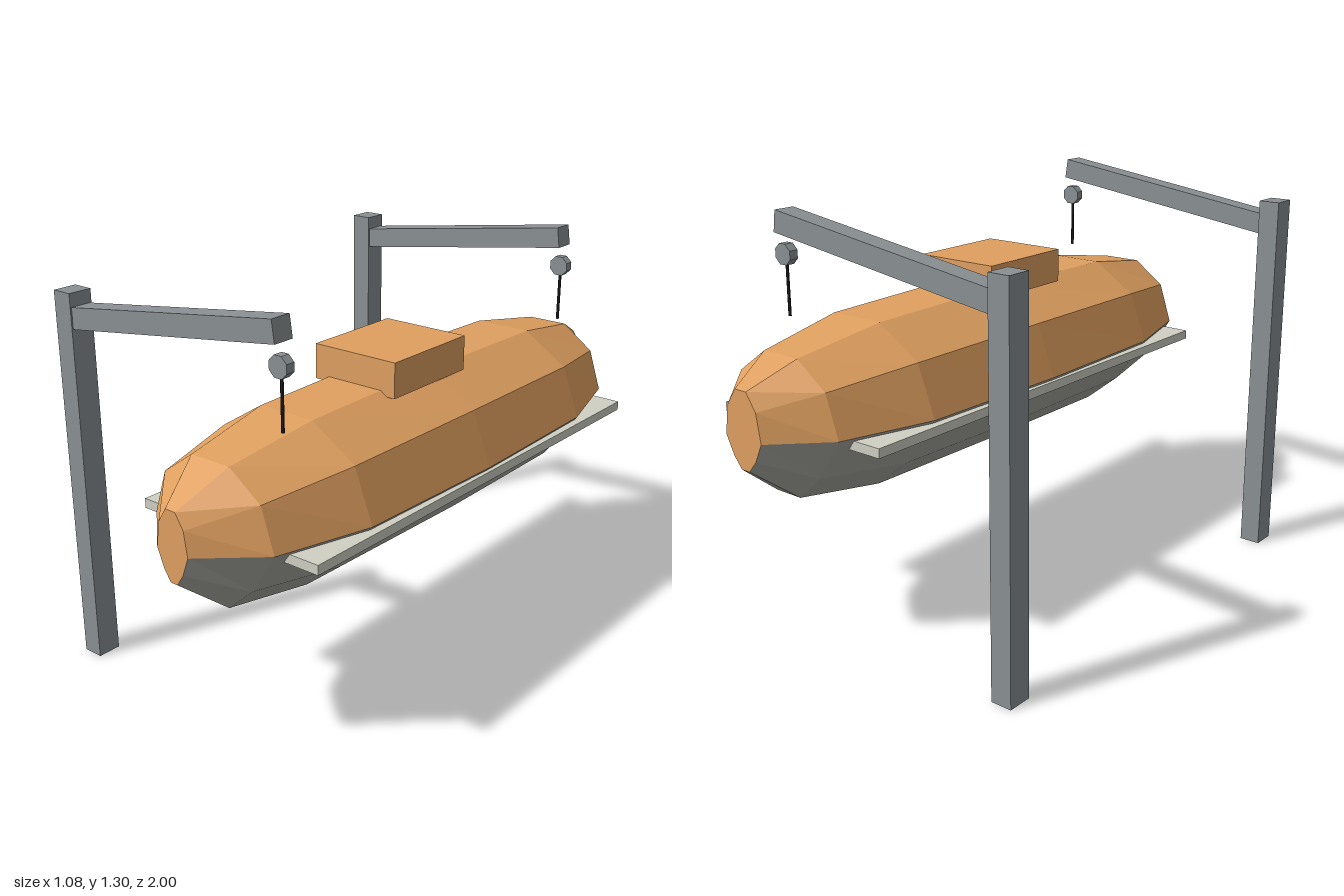
import * as THREE from 'three';

const material = (color) => new THREE.MeshStandardMaterial({ color, flatShading: true });
const orange = material(0xe0a060);
const grey = material(0xa8a8a2);
const pale = material(0xd0d0c4);
const steel = material(0x8a9093);
const dark = material(0x222222);

const CENTRE_X = 0.208;
const DECK_Y = 0.7;

// Stations along the boat: z, half width, top y, keel y
const stations = [
  [-1, 0.075, 0.843, 0.605],
  [-0.85, 0.225, 0.912, 0.487],
  [-0.55, 0.31, 0.96, 0.442],
  [0, 0.325, 0.97, 0.441],
  [0.55, 0.31, 0.96, 0.442],
  [0.85, 0.225, 0.912, 0.487],
  [1, 0.058, 0.82, 0.607],
];

// Unit section arcs, counter-clockwise seen from the front
const canopyArc = [[1, 0], [0.8, 0.63], [0.31, 1], [-0.31, 1], [-0.8, 0.63], [-1, 0]];
const hullArc = [[-1, 0], [-0.62, -0.62], [-0.22, -1], [0.22, -1], [0.62, -0.62], [1, 0]];

function section([z, halfWidth, top, keel], arc) {
  return arc.map(([u, v]) => [
    CENTRE_X + u * halfWidth,
    DECK_Y + v * (v > 0 ? top - DECK_Y : DECK_Y - keel),
    z,
  ]);
}

function facets(triangles) {
  const geometry = new THREE.BufferGeometry();
  geometry.setAttribute('position', new THREE.Float32BufferAttribute(triangles.flat(2), 3));
  geometry.computeVertexNormals();
  return geometry;
}

function loft(arc) {
  const rings = stations.map((s) => section(s, arc));
  const triangles = [];
  for (let i = 0; i < rings.length - 1; i++) {
    for (let j = 0; j < arc.length - 1; j++) {
      const a = rings[i][j], b = rings[i][j + 1];
      const c = rings[i + 1][j + 1], d = rings[i + 1][j];
      triangles.push([a, b, c], [a, c, d]);
    }
  }
  return facets(triangles);
}

function endCap(station, facesFront) {
  const ring = section(station, [...canopyArc, ...hullArc.slice(1, -1)]);
  if (!facesFront) ring.reverse();
  const triangles = [];
  for (let i = 1; i < ring.length - 1; i++) triangles.push([ring[0], ring[i], ring[i + 1]]);
  return facets(triangles);
}

function add(parent, name, geometry, mat, x = 0, y = 0, z = 0) {
  const mesh = new THREE.Mesh(geometry, mat);
  mesh.name = name;
  mesh.position.set(x, y, z);
  parent.add(mesh);
  return mesh;
}

function createDavit(z) {
  const davit = new THREE.Group();
  davit.position.z = z;
  add(davit, 'post', new THREE.BoxGeometry(0.07, 1.225, 0.08), steel, -0.505, 0.6125);
  // Arm rises gently from the post to above the boat
  const arm = add(davit, 'arm', new THREE.BoxGeometry(0.85, 0.067, 0.07), steel, -0.083, 1.203);
  arm.rotation.z = 0.14;
  const pulleyShape = new THREE.CylinderGeometry(0.034, 0.034, 0.03, 8);
  pulleyShape.rotateY(Math.PI / 8).rotateX(Math.PI / 2);
  add(davit, 'pulley', pulleyShape, steel, 0.333, 1.162);
  add(davit, 'rope', new THREE.CylinderGeometry(0.005, 0.005, 0.18, 6), dark, 0.333, 1.065);
  return davit;
}

export function createModel() {
  const model = new THREE.Group();
  model.name = 'lifeboatOnDavits';

  // Enclosed boat
  const boat = new THREE.Group();
  boat.name = 'boat';
  add(boat, 'canopy', loft(canopyArc), orange);
  add(boat, 'hull', loft(hullArc), grey);
  add(boat, 'bowCap', endCap(stations[stations.length - 1], true), orange);
  add(boat, 'sternCap', endCap(stations[0], false), orange);
  add(boat, 'cabin', new THREE.BoxGeometry(0.3, 0.11, 0.35), orange, CENTRE_X, 1.005, 0.075);
  add(boat, 'fender', new THREE.BoxGeometry(0.66, 0.03, 1.6), pale, CENTRE_X, 0.675);
  model.add(boat);

  // Pair of davits
  for (const side of [1, -1]) {
    const davit = createDavit(0.7 * side);
    davit.name = side > 0 ? 'frontDavit' : 'backDavit';
    model.add(davit);
  }
  return model;
}
